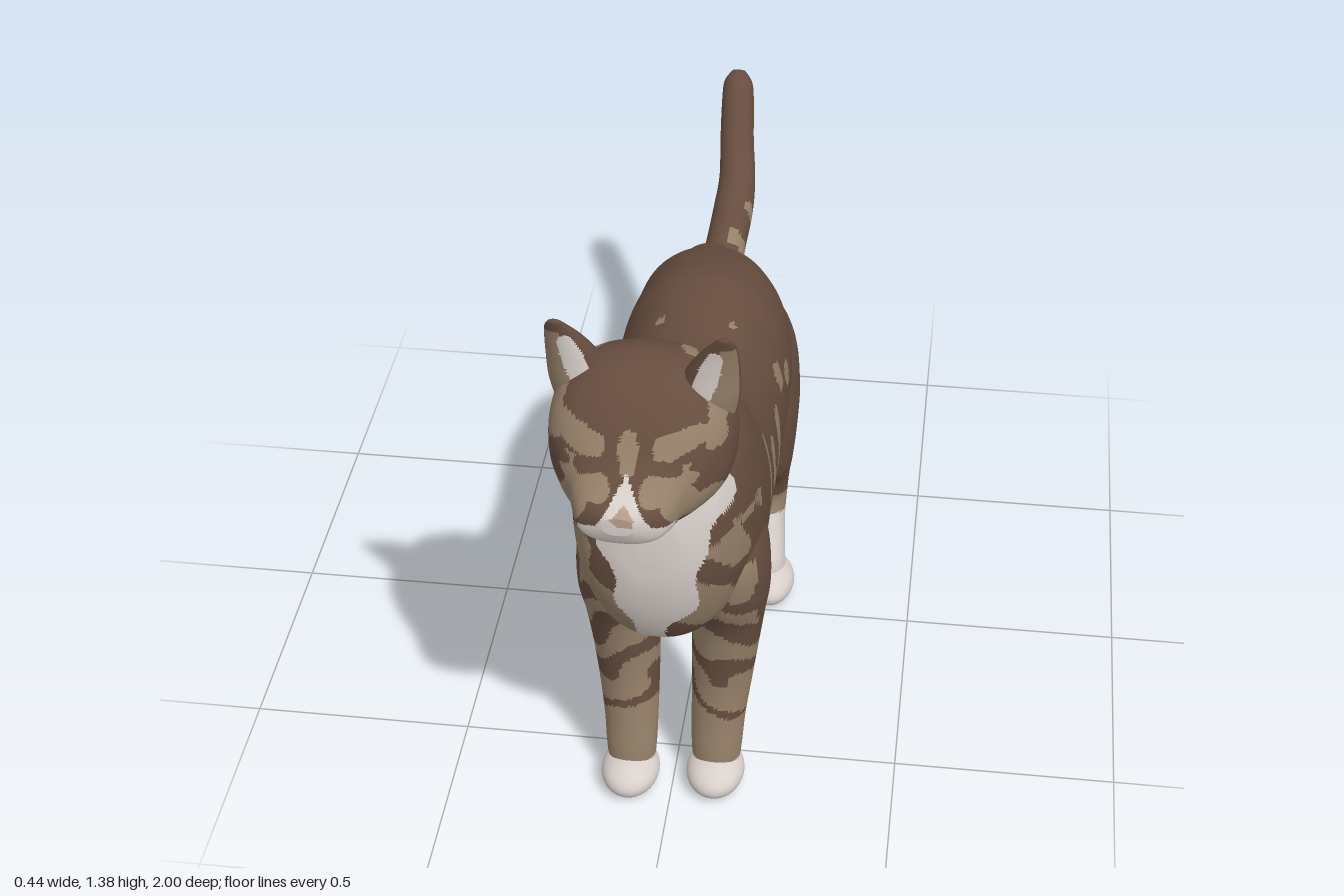
import * as THREE from 'three';

const mat = (name, color) => Object.assign(new THREE.MeshStandardMaterial({ color }), { name });
const BROWN = 0, TAN = 1, WHITE = 2, NOSE = 3;
const materials = [
  mat('brownFur', 0x664d3f), mat('tanFur', 0x958069),
  mat('whiteFur', 0xd8cfca), mat('noseSkin', 0xb59c8a),
];

// Smooth wobble for irregular fur borders
const noise = (x, y, z) =>
  (Math.sin(x * 31 + y * 17) + Math.sin(y * 43 - z * 29 + 1.3) + Math.sin(z * 37 + x * 23 + 2.1)) / 3;

// Distance from a 2D point to a stroke
function strokeDist(px, py, [ax, ay, bx, by]) {
  const dx = bx - ax, dy = by - ay;
  const t = THREE.MathUtils.clamp(((px - ax) * dx + (py - ay) * dy) / (dx * dx + dy * dy + 1e-9), 0, 1);
  return Math.hypot(px - ax - dx * t, py - ay - dy * t);
}

// Cubic interpolation through rows of section numbers, t in 0..1
function sample(rows, t) {
  const s = t * (rows.length - 1), i = Math.min(Math.floor(s), rows.length - 2), f = s - i;
  const at = (k) => rows[THREE.MathUtils.clamp(k, 0, rows.length - 1)];
  return rows[0].map((_, k) => {
    const [a, b, c, d] = [at(i - 1)[k], at(i)[k], at(i + 1)[k], at(i + 2)[k]];
    return b + 0.5 * f * (c - a + f * (2 * a - 5 * b + 4 * c - d + f * (3 * (b - c) + d - a)));
  });
}

// Splits the triangles into one material group per colour given by the rule
function paintGeometry(geo, paint) {
  const p = geo.attributes.position, idx = geo.index.array, bins = materials.map(() => []);
  const tri = new THREE.Triangle(), m = new THREE.Vector3(), n = new THREE.Vector3();
  for (let i = 0; i < idx.length; i += 3) {
    tri.setFromAttributeAndIndices(p, idx[i], idx[i + 1], idx[i + 2]);
    tri.getMidpoint(m);
    tri.getNormal(n);
    bins[paint(m, n)].push(idx[i], idx[i + 1], idx[i + 2]);
  }
  geo.setIndex(bins.flat());
  let start = 0;
  bins.forEach((b, k) => {
    if (b.length) geo.addGroup(start, b.length, k);
    start += b.length;
  });
  return geo;
}

// Closed skin over rounded sections; frame(t) gives centre c and half axes u, v
function loft(name, frame, rows, cols, paint, power = 2) {
  const pos = [], index = [];
  const round = (a) => Math.sign(a) * Math.abs(a) ** (2 / power);
  for (let i = 0; i <= rows; i++) {
    const { c, u, v } = frame(i / rows);
    for (let j = 0; j < cols; j++) {
      const a = (j / cols) * Math.PI * 2;
      const q = c.clone().addScaledVector(u, round(Math.cos(a))).addScaledVector(v, round(Math.sin(a)));
      pos.push(q.x, q.y, q.z);
    }
  }
  for (let i = 0; i < rows; i++) for (let j = 0; j < cols; j++) {
    const k = (j + 1) % cols, a = i * cols + j, b = i * cols + k;
    index.push(a, b, b + cols, a, b + cols, a + cols);
  }
  const first = pos.length / 3, last = rows * cols;
  pos.push(...frame(0).c.toArray(), ...frame(1).c.toArray());
  for (let j = 0; j < cols; j++) {
    const k = (j + 1) % cols;
    index.push(first, k, j, first + 1, last + j, last + k);
  }
  const geo = new THREE.BufferGeometry();
  geo.setAttribute('position', new THREE.Float32BufferAttribute(pos, 3));
  geo.setIndex(index);
  geo.computeVertexNormals();
  const mesh = new THREE.Mesh(paintGeometry(geo, paint), materials);
  mesh.name = name;
  return mesh;
}
const V = (x, y, z) => new THREE.Vector3(x, y, z);
// Sections along z: [z, top, bottom, halfWidth, centreX]
const alongZ = (rows) => (t) => {
  const [z, top, bottom, w, x] = sample(rows, t);
  return { c: V(x, (top + bottom) / 2, z), u: V(w, 0, 0), v: V(0, (top - bottom) / 2, 0) };
};
// Sections rising along y: [y, centreX, centreZ, halfWidth, halfDepth]
const alongY = (rows) => (t) => {
  const [y, x, z, w, d] = sample(rows, t);
  return { c: V(x, y, z), u: V(0, 0, d), v: V(w, 0, 0) };
};

// Flank, bib and belly markings
const flank = [[.435, .84, .415, .63], [.34, .77, .33, .68], [.335, .72, .25, .52], [.24, .78, .235, .6],
  [.4, .5, .33, .46], [.14, .83, .14, .8], [.07, .78, .07, .765]];
const backSpots = [[.08, .16, .08, .16], [.08, .28, .08, .28], [.18, .22, .18, .22]];
function paintBody(p, n) {
  const w = noise(p.x, p.y, p.z), x = Math.abs(p.x + .015);
  if (p.y < .45 + .02 * w && p.z > .04 && p.z < .5) return WHITE;
  if (p.y < .475 + .03 * w && p.z > .06 && p.z < .44) return TAN;
  if (p.z > .6 + Math.max(0, p.y - .75) * .55 && n.z > -.1 && p.y < 1.03
    && x < .035 + Math.max(0, p.y - .55) * .27 + .025 * w) return WHITE;
  if (p.z > .55 && n.z > .15 && p.y < .88 && w > -.15 + (p.y - .7) * 2) return TAN;
  if (n.y > .7 && backSpots.some((s) => strokeDist(Math.abs(p.x), p.z, s) < .01)) return TAN;
  const marks = p.x > 0 ? flank : flank.slice(4);
  if (n.y < .75 && marks.some((s) => strokeDist(p.z, p.y, s) < .021 + .01 * w)) return TAN;
  return BROWN;
}

// Muzzle, eyes, brows and cheeks
const tanFace = [[.07, 1.165, .13, 1.19], [.05, 1.11, .12, 1.12], [.1, 1.08, .12, 1.04], [0, 1.14, 0, 1.17],
  [.165, 1.17, .16, 1.23], [.15, 1.035, .16, 1.05]];
const brownFace = [[.055, 1.14, .095, 1.132], [.13, 1.13, .17, 1.12], [.03, 1.2, .035, 1.17]];
function paintHead(p, n) {
  const w = noise(p.x, p.y, p.z), x = Math.abs(p.x + .04);
  if (p.z > .95 && x < .024 - Math.abs(p.y - 1.065) * .9) return NOSE;
  if (p.z > .85 && x < .095 + .01 * w && p.y < 1.06 - x * .25) return WHITE;
  if (p.z > .85 && x < (1.13 - p.y) * .65) return WHITE;
  if (p.y < 1 && p.z > .74 && n.y < -.2) return x < .12 ? WHITE : TAN;
  if (p.z > .76 && brownFace.some((s) => strokeDist(x, p.y, s) < .013 + .006 * w)) return BROWN;
  if (p.z > .765 && tanFace.some((s) => strokeDist(x, p.y, s) < .024 + .012 * w)) return TAN;
  if (p.z < .8 && strokeDist(x, p.z, [.09, .67, .1, .71]) < .016 && n.y > .5) return TAN;
  return BROWN;
}

// Pale patch behind each shin, broader on the left leg
function paintFrontLeg(p, n) {
  const w = noise(p.x, p.y, p.z);
  if (p.y < .075) return WHITE;
  const patch = p.x > 0 ? p.y > .09 && n.x > -.45 : p.y > .17 && n.x < .3;
  if (patch && p.y < .33 + .03 * w && n.z < -.35) return WHITE;
  if (p.y > .45 + .05 * w && n.z < .45) return BROWN;
  const stripe = Math.sin(p.y * 50 + Math.abs(p.x) * 22 + w * 2.5);
  if (p.y > .2 && stripe > (p.y > .3 ? .15 : .6)) return BROWN;
  return p.y > .74 ? BROWN : TAN;
}

function paintHindLeg(p) {
  const w = noise(p.x, p.y, p.z);
  return p.y < .2 + .02 * w ? WHITE : p.y < .27 + .02 * w ? TAN : BROWN;
}

// Smooth rounded paw, flat underneath
function makePaw(name, x, z, w) {
  const geo = new THREE.SphereGeometry(1, 32, 24).scale(w, .046, .088).translate(x, .04, z);
  const p = geo.attributes.position;
  for (let i = 0; i < p.count; i++) p.setY(i, Math.max(.004, p.getY(i)));
  geo.computeVertexNormals();
  const paw = new THREE.Mesh(geo, materials[WHITE]);
  paw.name = name;
  return paw;
}

export function createModel() {
  const cat = new THREE.Group();
  cat.name = 'cat';

  // Trunk with neck and chest
  cat.add(loft('body', alongZ([
    [-.295, .83, .72, .03, -.02], [-.27, .885, .64, .11, -.01], [-.2, .925, .53, .165, -.01],
    [-.1, .965, .45, .19, 0], [0, .99, .425, .198, 0], [.1, .987, .41, .198, 0], [.25, .975, .4, .195, 0],
    [.4, 1, .405, .195, 0], [.5, 1.075, .43, .2, 0], [.6, 1.175, .46, .2, -.005], [.68, 1.2, .505, .187, -.01],
    [.74, 1.14, .55, .165, -.015], [.79, 1.05, .64, .135, -.02], [.82, .95, .74, .075, -.02], [.828, .88, .82, .02, -.02],
  ]), 150, 112, paintBody, 2.2));

  // Head turned slightly to one side
  cat.add(loft('head', alongZ([
    [.54, 1.1, .92, .1, -.02], [.62, 1.225, .92, .16, -.025], [.7, 1.28, .93, .182, -.03], [.77, 1.287, .945, .188, -.03],
    [.83, 1.262, .96, .178, -.032], [.88, 1.21, .97, .148, -.037], [.915, 1.155, .978, .117, -.042],
    [.95, 1.115, .983, .1, -.045], [.98, 1.09, .995, .08, -.048], [1, 1.07, 1.03, .03, -.05],
  ]), 100, 104, paintHead, 2.4));

  // Ears: brown shells with tan rims and pale hollows
  for (const s of [1, -1]) {
    const z = s > 0 ? .79 : .765, x0 = -.03;
    const rows = [[1.15, .12, -.04, .06, .055], [1.22, .13, -.025, .062, .05], [1.28, .14, -.01, .053, .038],
      [1.33, .153, .008, .038, .025], [1.365, .163, .025, .024, .014], [1.383, .166, .035, .013, .008], [1.388, .167, .038, .004, .003]]
      .map(([y, x, dz, w, d]) => [y, x0 + s * x, z + dz, w, d]);
    cat.add(loft(s > 0 ? 'leftEar' : 'rightEar', alongY(rows), 48, 48, (p, n) => {
      const x = s * (p.x - x0), mid = .128 + Math.max(0, p.y - 1.22) * .22;
      if (n.z < .1) return BROWN;
      if (strokeDist(x, p.y, [.122, 1.25, .148, 1.34]) < .022 - Math.max(0, p.y - 1.3) * .2) return WHITE;
      return x > mid && p.y < 1.36 && n.z > .35 ? TAN : BROWN;
    }));
  }

  // Legs; the right hind leg stands further forward
  for (const s of [1, -1]) {
    const side = s > 0 ? 'left' : 'right', step = s > 0 ? 0 : .02, hindStep = s > 0 ? 0 : .095;
    cat.add(loft(side + 'FrontLeg', alongY([
      [.03, .095, .585, .05, .045], [.1, .096, .575, .057, .052], [.18, .098, .56, .061, .058], [.28, .104, .54, .068, .073],
      [.38, .11, .533, .075, .088], [.48, .117, .54, .081, .1], [.58, .123, .56, .087, .12], [.7, .123, .57, .08, .13],
      [.8, .12, .56, .05, .09], [.84, .11, .56, .015, .03],
    ].map(([y, x, z, w, d]) => [y, s * x, z + step * (1 - y), w, d])), 90, 48, paintFrontLeg));
    cat.add(makePaw(side + 'FrontPaw', s * .096, .6 + step, .066));

    cat.add(loft(side + 'HindLeg', alongY([
      [.03, .152, -.1, .04, .05], [.1, .148, -.105, .038, .058], [.18, .143, -.148, .037, .06], [.25, .14, -.178, .042, .062],
      [.32, .136, -.165, .052, .076], [.4, .13, -.12, .068, .105], [.5, .12, -.115, .087, .14], [.6, .115, -.12, .095, .16],
      [.72, .1, -.12, .097, .155], [.82, .08, -.12, .075, .1], [.87, .07, -.12, .02, .03],
    ].map(([y, x, z, w, d]) => [y, s * x, z + hindStep * Math.max(0, 1 - y / .8), w, d])), 90, 48, paintHindLeg));
    cat.add(makePaw(side + 'HindPaw', s * .154, -.078 + hindStep, .058));
  }

  // Tail dips behind the rump and curls up: [z, y, radius, x]
  const tail = [[-.2, .81, .075, -.02], [-.28, .795, .08, -.025], [-.35, .735, .068, -.03], [-.42, .665, .06, -.03],
    [-.49, .655, .053, -.027], [-.58, .695, .05, -.02], [-.7, .725, .05, -.015], [-.79, .765, .046, -.015],
    [-.87, .835, .043, -.025], [-.93, .91, .041, -.03], [-.965, .945, .036, -.033], [-.985, .966, .018, -.034]];
  cat.add(loft('tail', (t) => {
    const [z, y, r, x] = sample(tail, t);
    const a = sample(tail, Math.max(0, t - .01)), b = sample(tail, Math.min(1, t + .01));
    const dir = V(0, b[1] - a[1], b[0] - a[0]).normalize(), u = V(1, 0, 0);
    return { c: V(x, y, z), u: u.clone().multiplyScalar(r), v: dir.cross(u).multiplyScalar(r) };
  }, 90, 36, (p, n) => {
    const spots = [[-.4, .64, -.43, .66], [-.55, .67, -.56, .74], [-.67, .69, -.68, .74]];
    return n.x > .15 && spots.some((s) => strokeDist(p.z, p.y, s) < .019) ? TAN : BROWN;
  }));

  return cat;
}
